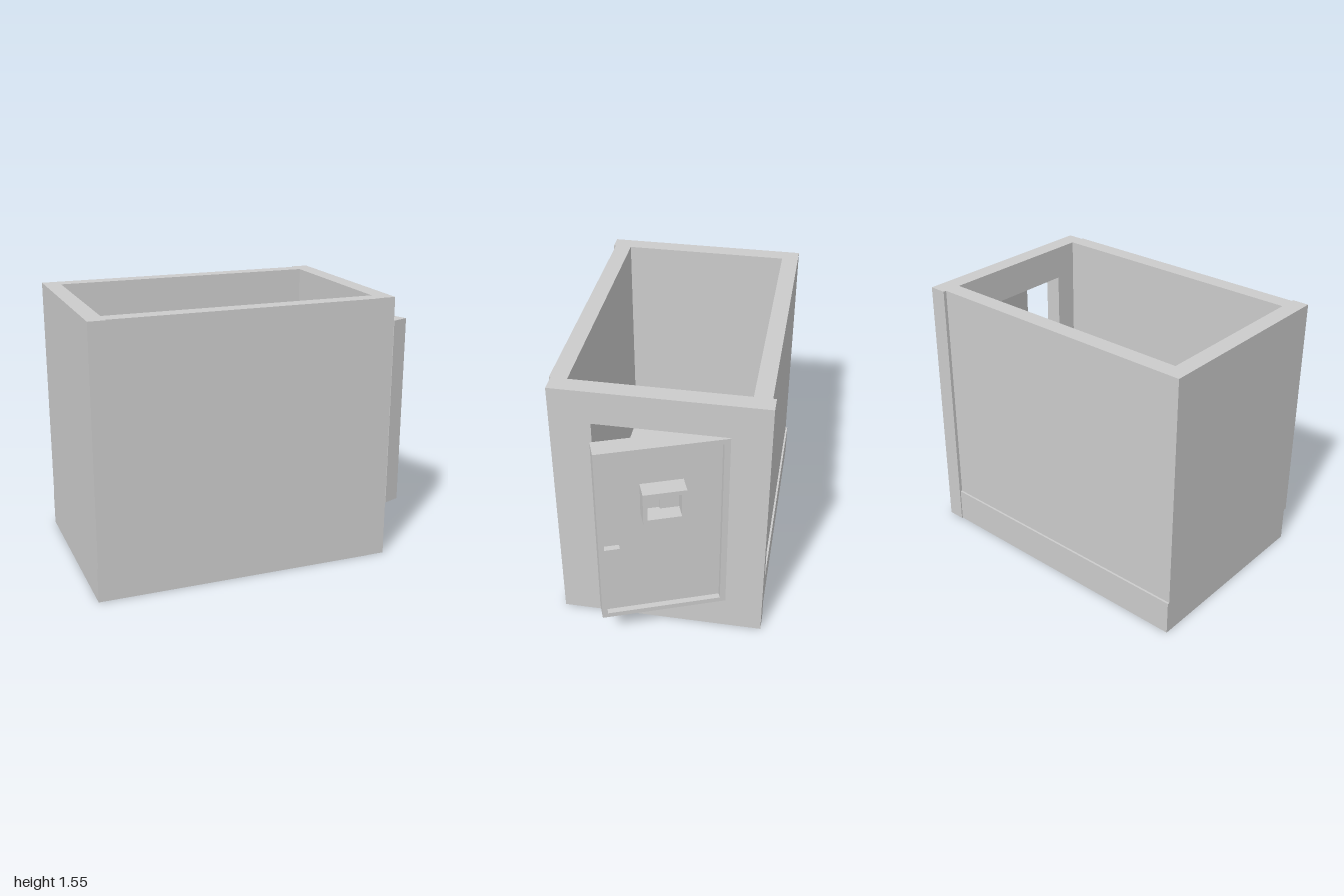
import * as THREE from 'three';

const material = new THREE.MeshStandardMaterial({ color: 0xcccccc, flatShading: true });

function add(parent, name, geometry) {
  const mesh = new THREE.Mesh(geometry, material);
  mesh.name = name;
  parent.add(mesh);
  return mesh;
}

// Box given by its [min, max] range on each axis
function box(parent, name, [x0, x1], [y0, y1], [z0, z1]) {
  const g = new THREE.BoxGeometry(x1 - x0, y1 - y0, z1 - z0);
  g.translate((x0 + x1) / 2, (y0 + y1) / 2, (z0 + z1) / 2);
  return add(parent, name, g);
}

function rectangle(PathType, [z0, z1], [y0, y1]) {
  return new PathType([[z0, y0], [z1, y0], [z1, y1], [z0, y1]].map(p => new THREE.Vector2(...p)));
}

// Slab facing x with a rectangular hole through it
function slabWithHole(parent, name, [x0, x1], yRange, zRange, holeY, holeZ) {
  const shape = rectangle(THREE.Shape, zRange, yRange);
  shape.holes.push(rectangle(THREE.Path, holeZ, holeY));
  const g = new THREE.ExtrudeGeometry(shape, { depth: x1 - x0, bevelEnabled: false });
  g.rotateY(-Math.PI / 2);
  g.translate(x1, 0, 0);
  return add(parent, name, g);
}

export function createModel() {
  const model = new THREE.Group();
  model.name = 'openRoom';

  // Plinth and the four walls, with an open top
  box(model, 'floorBase', [-1, 0.64], [0, 0.2], [-0.587, 0.572]);
  box(model, 'frontWall', [-0.905, 0.64], [0.2, 1.55], [0.482, 0.579]);
  box(model, 'backWall', [-0.905, 0.64], [0.2, 1.55], [-0.575, -0.478]);
  box(model, 'sideWall', [-1, -0.905], [0.2, 1.55], [-0.575, 0.592]);
  slabWithHole(model, 'doorwayWall', [0.64, 0.74], [0, 1.55], [-0.594, 0.57],
    [0.2, 1.354], [-0.378, 0.345]);
  box(model, 'threshold', [0.74, 0.755], [0.199, 0.201], [0.1, 0.335]);

  // Door swung ajar: local z runs from hinge to free edge, local x points outward
  const door = new THREE.Group();
  door.name = 'door';
  door.position.set(0.742, 0, -0.384);
  door.rotation.y = 0.365;
  model.add(door);

  const recess = -0.033;
  box(door, 'doorPanel', [-0.107, recess], [0.2, 1.352], [0, 0.705]);
  slabWithHole(door, 'doorFrame', [recess, 0], [0.2, 1.352], [0, 0.705],
    [0.23, 1.322], [0.033, 0.675]);

  // Viewing hatch: boxed surround with two overlapping shutters
  slabWithHole(door, 'hatchSurround', [recess, 0.063], [0.91, 1.105], [0.237, 0.469],
    [0.935, 1.08], [0.264, 0.446]);
  box(door, 'hatchShutter', [recess, -0.019], [0.935, 1.08], [0.264, 0.367]);

  box(door, 'latch', [recess, 0], [0.65, 0.705], [0.59, 0.675]);

  return model;
}
